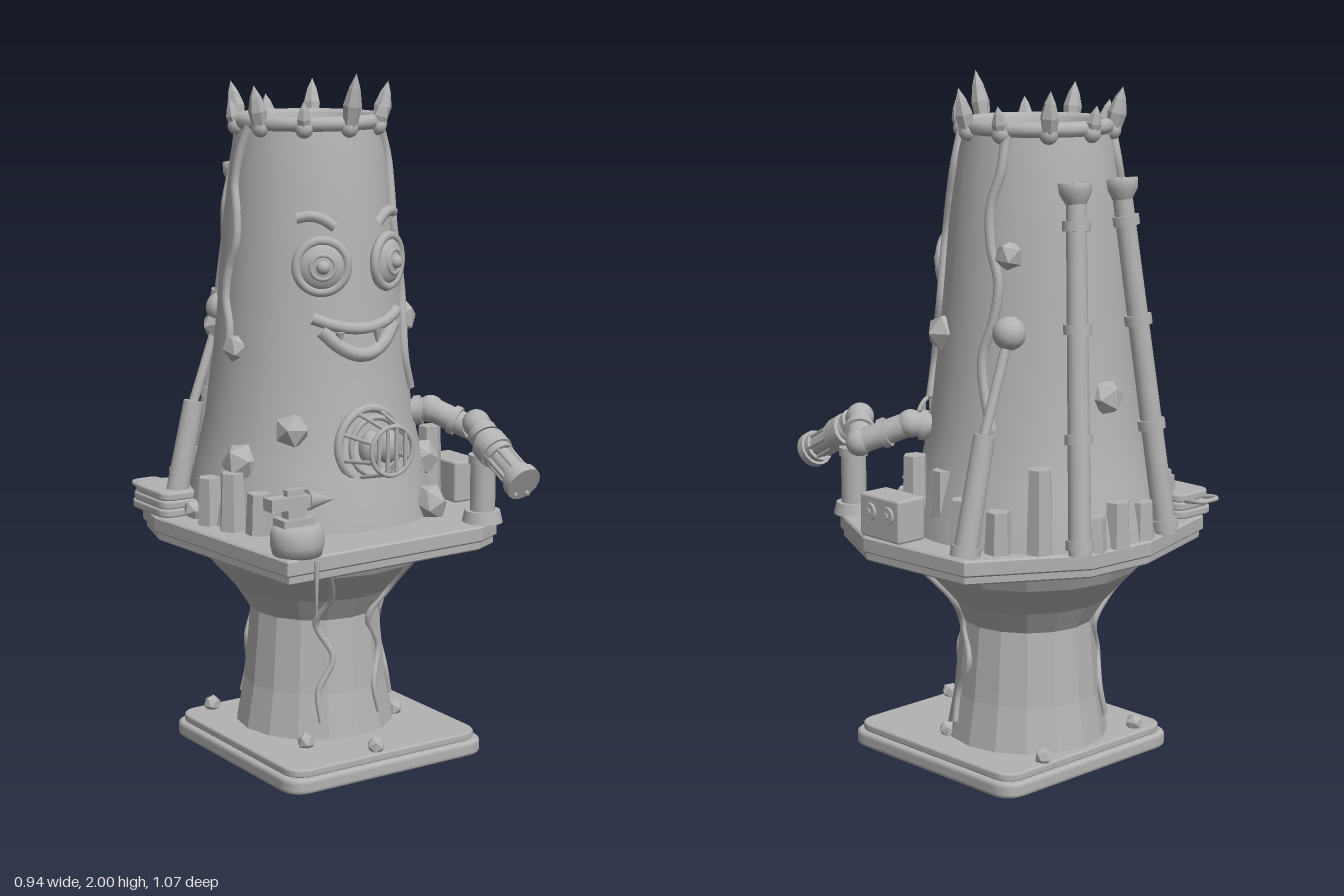
import * as THREE from 'three';
import { RoundedBoxGeometry } from 'three/addons/geometries/RoundedBoxGeometry.js';

const V = (x, y, z) => new THREE.Vector3(x, y, z);
const UP = V(0, 1, 0);
const deg = Math.PI / 180;
const CX = -0.012, CZ = -0.14; // axis of the tower

// Tower outline: radius, height
const OUTLINE = [[0.372, 0.7], [0.362, 0.76], [0.335, 0.88], [0.308, 1.0], [0.283, 1.2],
  [0.264, 1.4], [0.246, 1.6], [0.222, 1.78], [0.205, 1.85]];

function radiusAt(y) {
  for (let i = 1; i < OUTLINE.length; i++) {
    const [r0, y0] = OUTLINE[i - 1], [r1, y1] = OUTLINE[i];
    if (y <= y1) return r0 + (r1 - r0) * (y - y0) / (y1 - y0);
  }
  return 0.205;
}
// Point on the tower at an angle (degrees from the front towards +x)
const onTower = (a, y, out = 0) =>
  V(CX + Math.sin(a * deg) * (radiusAt(y) + out), y, CZ + Math.cos(a * deg) * (radiusAt(y) + out));
const facePoint = (x, y, out) => onTower(Math.asin((x - CX) / radiusAt(y)) / deg, y, out);
const lathe = (pts, n) => new THREE.LatheGeometry(pts.map(p => new THREE.Vector2(...p)), n);

function faceted(geo) {
  const g = geo.index ? geo.toNonIndexed() : geo;
  g.computeVertexNormals();
  return g;
}

export function createModel() {
  const root = new THREE.Group();
  const stone = new THREE.MeshStandardMaterial({ color: 0xb2b2b2 });
  stone.name = 'grey stone';

  const add = (name, geo, x = 0, y = 0, z = 0, parent = root) => {
    const m = new THREE.Mesh(geo, stone);
    m.name = name;
    m.position.set(x, y, z);
    parent.add(m);
    return m;
  };
  const group = (name, p) => {
    const g = new THREE.Group();
    g.name = name;
    g.position.copy(p);
    root.add(g);
    return g;
  };
  const rod = (name, a, b, r0, r1 = r0, sides = 16) => {
    const d = b.clone().sub(a);
    const m = add(name, new THREE.CylinderGeometry(r1, r0, d.length(), sides));
    m.position.copy(a).addScaledVector(d, 0.5);
    m.quaternion.setFromUnitVectors(UP, d.normalize());
  };
  // Short collar around the line a-b at fraction t
  const collar = (name, a, b, t, r, len) => {
    const c = a.clone().lerp(b, t), d = b.clone().sub(a).normalize().multiplyScalar(len / 2);
    rod(name, c.clone().sub(d), c.clone().add(d), r);
  };
  const tube = (name, pts, r, seg = 40, parent = root) =>
    add(name, new THREE.TubeGeometry(new THREE.CatmullRomCurve3(pts), seg, r, 8), 0, 0, 0, parent);
  const rock = (name, p, r, sy = 1) => {
    const m = add(name, faceted(new THREE.IcosahedronGeometry(r, 0)), p.x, p.y, p.z);
    m.rotation.set(p.x * 9, p.y * 7, p.z * 11);
    m.scale.y = sy;
  };
  // Flat slab with rounded corners in plan
  const slab = (name, cx, cz, w, d, y, h, r) => {
    const a = w / 2, b = d / 2, sh = new THREE.Shape(), e = h * 0.25;
    sh.moveTo(-a + r, -b).lineTo(a - r, -b).quadraticCurveTo(a, -b, a, -b + r).lineTo(a, b - r)
      .quadraticCurveTo(a, b, a - r, b).lineTo(-a + r, b).quadraticCurveTo(-a, b, -a, b - r)
      .lineTo(-a, -b + r).quadraticCurveTo(-a, -b, -a + r, -b);
    const g = new THREE.ExtrudeGeometry(sh, { depth: h - 2 * e, bevelSize: e, bevelThickness: e, bevelSegments: 3 });
    add(name, g.rotateX(-Math.PI / 2), cx, y + e, cz);
  };

  // Square foot with pebbles
  slab('footLower', -0.02, -0.03, 0.665, 0.665, 0, 0.046, 0.06);
  slab('footUpper', -0.02, -0.03, 0.645, 0.645, 0.044, 0.025, 0.06);
  for (const [x, z] of [[-0.2, 0.13], [-0.05, 0.27], [0.19, 0.02], [0.15, -0.34], [-0.25, -0.32]])
    rock('footPebble', V(x, 0.083, z), 0.027);

  // Faceted pedestal with roots
  const column = [[0.24, 0.06], [0.215, 0.2], [0.195, 0.42], [0.24, 0.49], [0.32, 0.58], [0.355, 0.65]];
  add('pedestal', faceted(lathe(column, 16)), -0.02, 0, -0.1);
  for (const a of [-26, 25, 72, -140]) {
    const pts = [[0.6, 0], [0.5, 4], [0.41, -6], [0.31, 8], [0.21, -4], [0.12, -2]].map(([y, w], i) => {
      const r = [0.338, 0.25, 0.2, 0.206, 0.216, 0.232][i], t = (a + w) * deg;
      return V(-0.02 + Math.sin(t) * r, y, -0.1 + Math.cos(t) * r);
    });
    tube('pedestalRoot', pts, 0.01);
  }

  // Many-sided platform
  const edge = [[-0.42, 0.38], [0.26, 0.36], [0.34, 0.32], [0.465, 0.07], [0.44, -0.32], [0.13, -0.51],
    [-0.09, -0.525], [-0.42, -0.43], [-0.47, -0.27]];
  const platform = (name, s, y, h) => {
    const sh = new THREE.Shape(edge.map(([x, z]) => new THREE.Vector2(x * s, -z * s)));
    const g = new THREE.ExtrudeGeometry(sh, { depth: h - 0.01, bevelSize: 0.005, bevelThickness: 0.005, bevelSegments: 1 });
    add(name, g.rotateX(-Math.PI / 2), 0, y + 0.005, 0);
  };
  platform('platformUnderside', 0.97, 0.64, 0.035);
  platform('platformTop', 0.99, 0.665, 0.047);

  // Tower with a hollow bowl at the top
  const bowl = [[0.205, 1.865], [0.178, 1.865], [0.178, 1.8], [0.165, 1.75], [0.12, 1.715], [0.06, 1.7], [0, 1.7]];
  add('tower', lathe([...OUTLINE, ...bowl], 48), CX, 0, CZ);
  add('rim', new THREE.TorusGeometry(0.2, 0.022, 10, 48), CX, 1.858, CZ).rotation.x = Math.PI / 2;
  for (const [x, z] of [[-0.075, -0.175], [0.03, -0.185], [0.052, -0.147], [-0.012, -0.06]])
    add('bowlPebble', new THREE.SphereGeometry(0.018, 12, 8), x, 1.72, z);

  // Crown of ten alternating spikes
  for (let i = 0; i < 10; i++) {
    const tall = i % 2 === 0, h = i === 0 ? 0.17 : tall ? 0.135 : 0.09, w = tall ? 0.027 : 0.022;
    const a = i * 36 * deg;
    const g = group('crownSpike', V(CX + Math.sin(a) * 0.213, 1.835, CZ + Math.cos(a) * 0.213));
    g.rotation.y = a;
    const pts = [[0, -0.02], [w * 0.7, 0], [w, h * 0.45], [w * 0.6, h * 0.75], [0, h]];
    add('spike', faceted(lathe(pts, 6)), 0, 0, 0, g).rotation.x = 0.22;
    add('rimBead', new THREE.SphereGeometry(0.026, 10, 8), 0, 0.01, 0, g);
  }

  // Eyes and brows
  for (const s of [-1, 1]) {
    const eye = group(s > 0 ? 'leftEye' : 'rightEye', onTower(s * 25, 1.465, 0.002));
    eye.rotation.y = s * 25 * deg;
    add('eyeball', new THREE.SphereGeometry(0.072, 28, 16), 0, 0, 0, eye).scale.z = 0.5;
    add('eyelid', new THREE.TorusGeometry(0.073, 0.014, 8, 32), 0, 0, 0.008, eye);
    add('iris', new THREE.TorusGeometry(0.034, 0.007, 8, 28), 0, 0, 0.029, eye);
    add('pupil', new THREE.SphereGeometry(0.02, 14, 10), 0, 0, 0.034, eye);
    const brow = [[0.07, 1.575], [0.1, 1.597], [0.13, 1.606], [0.16, 1.6]];
    tube('brow', brow.map(([x, y]) => facePoint(CX + s * x, y, 0.008)), 0.016, 16);
  }

  // Mouth: curved plate, lips and two fangs
  const upper = u => 1.285 + 0.035 * u * u, lower = u => 1.21 + 0.075 * u * u;
  const plate = new THREE.PlaneGeometry(2, 1, 16, 4), pos = plate.attributes.position;
  for (let i = 0; i < pos.count; i++) {
    const u = pos.getX(i), t = pos.getY(i) + 0.5;
    const p = facePoint(CX + u * 0.12, lower(u) * (1 - t) + upper(u) * t, 0.008);
    pos.setXYZ(i, p.x, p.y, p.z);
  }
  plate.computeVertexNormals();
  add('mouth', plate);
  const us = [-1, -0.6, -0.2, 0.2, 0.6, 1];
  tube('upperLip', us.map(u => facePoint(CX + u * 0.14, upper(u), 0.01)), 0.017);
  tube('lowerLip', us.map(u => facePoint(CX + u * 0.12, lower(u), 0.008)), 0.021);
  for (const x of [-0.085, 0.033]) {
    const p = facePoint(x, 1.265, 0.014);
    add('fang', new THREE.ConeGeometry(0.014, 0.05, 10), p.x, p.y - 0.01, p.z).rotation.x = Math.PI;
  }

  // Furnace cage at the front, holding two lumps
  const cage = group('cage', V(-0.015, 0.955, 0.18));
  add('cageBackRing', new THREE.TorusGeometry(0.105, 0.013, 8, 36), 0, 0, 0, cage);
  add('cageInnerRing', new THREE.TorusGeometry(0.082, 0.008, 8, 36), 0, 0, 0.03, cage);
  add('cageFrontRing', new THREE.TorusGeometry(0.07, 0.007, 8, 32), 0, 0, 0.115, cage);
  for (const x of [-0.045, -0.015, 0.015, 0.045])
    add('cageBar', new THREE.CylinderGeometry(0.006, 0.006, 2 * Math.sqrt(0.0049 - x * x), 8), x, 0, 0.115, cage);
  for (let i = 0; i < 8; i++) {
    const c = Math.cos((i + 0.5) * 45 * deg), s = Math.sin((i + 0.5) * 45 * deg);
    tube('cageStay', [V(c * 0.1, s * 0.1, 0), V(c * 0.085, s * 0.085, 0.06), V(c * 0.07, s * 0.07, 0.115)], 0.006, 6, cage);
  }
  for (const s of [-1, 1])
    add('cageLump', new THREE.SphereGeometry(0.036, 14, 10), s * 0.028, 0, 0.05, cage).scale.y = 1.4;

  // Creeping vines
  [[46, 1.08], [108, 1.04], [-90, 1.2], [-140, 1.2]].forEach(([a, end], k) => {
    const pts = [];
    for (let i = 0; i <= 8; i++)
      pts.push(onTower(a + Math.sin(i * 1.6 + k) * 4.5, 1.85 + (end - 1.85) * i / 8, 0.004));
    tube('vine', pts, 0.014, 64);
  });

  // Rocks stuck into the tower
  for (const [a, y, r] of [[-42, 1.0, 0.055], [62, 1.28, 0.058], [118, 1.52, 0.045], [-82, 1.22, 0.045],
    [-122, 1.26, 0.048], [178, 1.12, 0.055], [55, 0.86, 0.06], [-70, 0.9, 0.06]])
    rock('towerRock', onTower(a, y, -0.01), r);

  // Pair of tall pipes at the back
  for (const s of [-1, 1]) {
    const a = V(CX + s * 0.175, 0.71, -0.49), b = V(CX + s * 0.092, 1.67, -0.385);
    rod('backPipe', a, b, 0.032, 0.028);
    for (const t of [0.03, 0.33, 0.64, 0.93]) collar('pipeCollar', a, b, t, 0.039, 0.028);
    const prof = [[0.028, 0], [0.045, 0.03], [0.047, 0.06], [0.034, 0.06], [0.022, 0.03], [0, 0.025]];
    add('pipeMouth', lathe(prof, 20), b.x, b.y - 0.01, b.z).rotation.x = 0.1;
  }

  // Side pistons
  for (const s of [-1, 1]) {
    const foot = V(s * 0.4, 0.71, -0.28), mid = V(s * 0.325, 1.04, -0.28), top = V(s * 0.228, 1.31, -0.277);
    rod('pistonSleeve', foot, mid, 0.034, 0.03);
    rod('pistonRod', mid, top, 0.014);
    collar('pistonFoot', foot, mid, 0.04, 0.042, 0.03);
    add('pistonKnob', new THREE.SphereGeometry(0.047, 20, 14), top.x, top.y, top.z);
  }

  // Ring of hexagonal crystals
  for (const [x, z, h] of [[-0.26, -0.4, 0.16], [-0.34, -0.34, 0.12], [-0.375, -0.105, 0.14], [-0.36, -0.005, 0.17],
    [-0.32, 0.075, 0.12], [0.33, 0, 0.23], [0.31, -0.1, 0.2], [0.34, -0.21, 0.14], [0.31, -0.32, 0.12],
    [0.23, -0.4, 0.24], [-0.09, -0.485, 0.11], [0.02, -0.495, 0.13], [0.1, -0.48, 0.1]])
    add('crystal', faceted(new THREE.CylinderGeometry(0.034, 0.04, h, 6)), x, 0.71 + h / 2, z).rotation.y = x * 10;
  for (const [x, z, r] of [[-0.245, 0.12, 0.052], [0.21, 0.17, 0.052], [-0.375, -0.2, 0.032]])
    rock('baseRock', V(x, 0.71 + r * 0.8, z), r, 1.2);

  // Jointed arm with a lantern, and its post
  const arm = [V(0.22, 1.0, 0.03), V(0.275, 1.01, 0.08), V(0.365, 0.95, 0.2), V(0.285, 1.0, 0.29), V(0.285, 0.95, 0.35)];
  for (let i = 0; i < 4; i++) {
    rod('armSegment', arm[i], arm[i + 1], 0.036);
    add('armJoint', new THREE.SphereGeometry(0.041, 16, 12), ...arm[i + 1].toArray());
    collar('armCollar', arm[i], arm[i + 1], 0.5, 0.044, 0.02);
  }
  const la = arm[4], lb = V(0.285, 0.865, 0.51);
  rod('lanternGlass', la, lb, 0.036);
  for (const [t, r, l] of [[0.1, 0.052, 0.05], [0.3, 0.046, 0.02], [0.85, 0.046, 0.02], [0.96, 0.054, 0.025]])
    collar('lanternCollar', la, lb, t, r, l);
  for (let i = 0; i < 6; i++) {
    const o = V(Math.cos(i * 60 * deg) * 0.041, Math.sin(i * 60 * deg) * 0.041, 0);
    rod('lanternBar', la.clone().add(o), lb.clone().add(o), 0.006, 0.006, 6);
  }
  const post = y => V(0.3, y, 0.305);
  rod('post', post(0.71), post(0.9), 0.037);
  rod('postFoot', post(0.71), post(0.745), 0.06, 0.052);
  rod('postCap', post(0.885), post(0.91), 0.043);

  // Anvil on a stump
  const stump = [[0, 0], [0.068, 0], [0.075, 0.03], [0.075, 0.06], [0.064, 0.085], [0, 0.085]];
  add('stump', lathe(stump, 24), -0.35, 0.71, 0.32);
  add('anvilFoot', new THREE.BoxGeometry(0.1, 0.022, 0.06), -0.36, 0.805, 0.32);
  add('anvilWaist', new THREE.BoxGeometry(0.06, 0.04, 0.036), -0.36, 0.83, 0.32);
  add('anvilTop', new THREE.BoxGeometry(0.13, 0.035, 0.045), -0.38, 0.86, 0.32);
  add('anvilTool', new THREE.BoxGeometry(0.055, 0.02, 0.022), -0.36, 0.885, 0.32);
  rod('anvilHorn', V(-0.32, 0.858, 0.32), V(-0.23, 0.85, 0.32), 0.03, 0.001);
  rod('hangingSpike', V(-0.325, 0.545, 0.378), V(-0.325, 0.7, 0.378), 0.002, 0.009, 8);

  // Box with two dials on its side
  add('dialBox', new RoundedBoxGeometry(0.1, 0.125, 0.165, 2, 0.008), 0.41, 0.775, 0.008);
  for (const z of [-0.03, 0.045]) {
    rod('dial', V(0.455, 0.79, z), V(0.468, 0.79, z), 0.026);
    rod('dialKnob', V(0.465, 0.79, z), V(0.473, 0.79, z), 0.01);
  }

  // Stack of rounded slabs with a handle
  for (let i = 0; i < 3; i++)
    slab('stackSlab', -0.388, -0.327, 0.14 - i * 0.006, 0.2 - i * 0.006, 0.712 + i * 0.024, 0.025, 0.035);
  tube('stackHandle', [V(-0.425, 0.765, -0.425), V(-0.427, 0.77, -0.465), V(-0.415, 0.77, -0.483), V(-0.385, 0.77, -0.485),
    V(-0.355, 0.77, -0.483), V(-0.343, 0.77, -0.465), V(-0.345, 0.765, -0.425)], 0.007, 24);

  return root;
}
